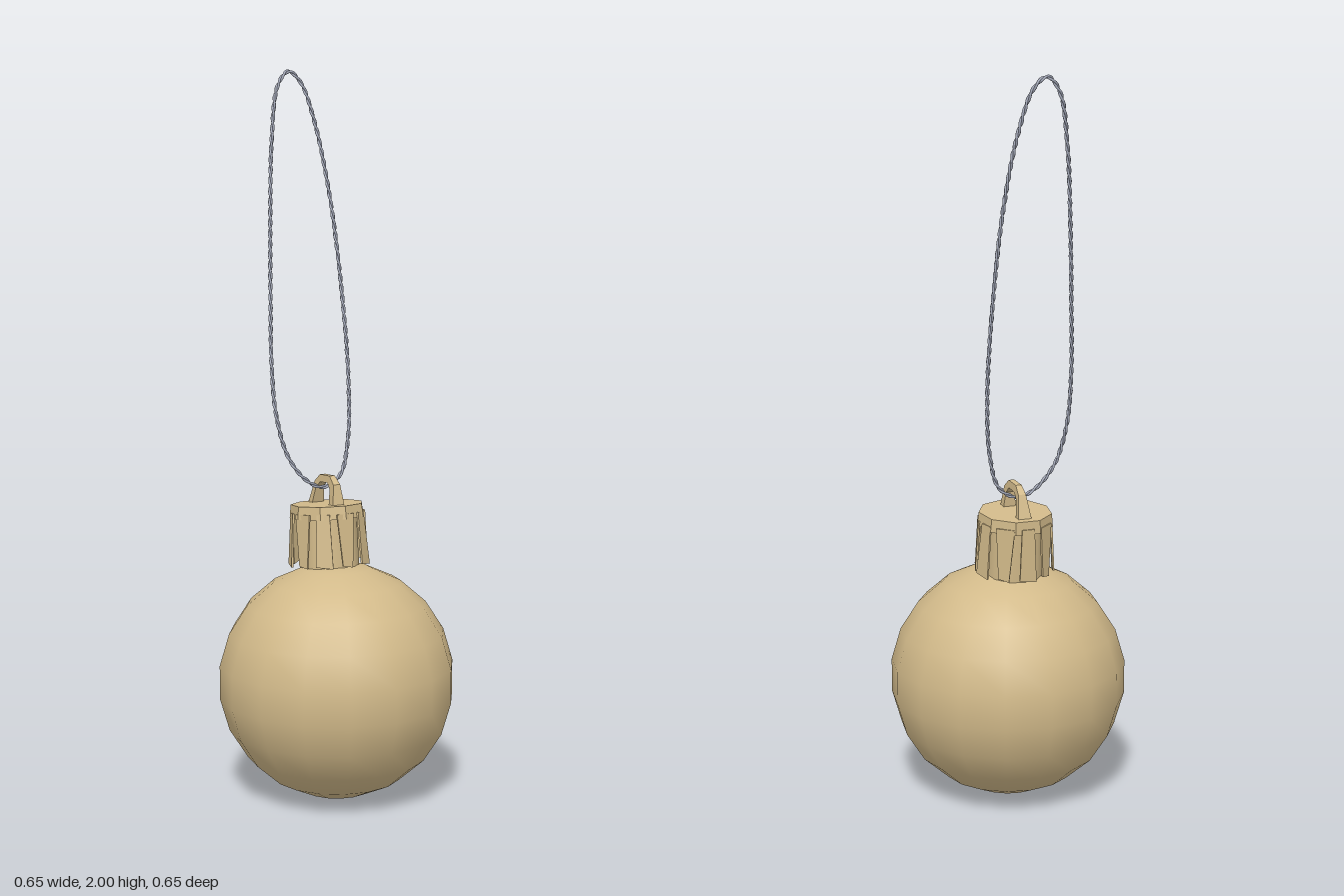
import * as THREE from 'three';

const gold = new THREE.MeshStandardMaterial({ color: 0xd2ba8a });
gold.name = 'matte gold';
const grey = new THREE.MeshStandardMaterial({ color: 0xa3a8b8 });
grey.name = 'grey cord';

function add(parent, name, geometry, material) {
  const mesh = new THREE.Mesh(geometry, material);
  mesh.name = name;
  parent.add(mesh);
  return mesh;
}

// Faceted normals for the crimped metal cap
function flat(geometry) {
  const g = geometry.toNonIndexed();
  g.computeVertexNormals();
  return g;
}

// Strand wound around a closed centre line lying in a leaning plane
class Strand extends THREE.Curve {
  constructor(path, planeNormal, turns, phase, offset) {
    super();
    Object.assign(this, { path, planeNormal, turns, phase, offset });
    this.arcLengthDivisions = 2000;
  }
  getPoint(t, target = new THREE.Vector3()) {
    const u = t % 1;
    const side = this.path.getTangentAt(u).cross(this.planeNormal).normalize();
    const a = t * this.turns * Math.PI * 2 + this.phase;
    return target.copy(this.path.getPointAt(u))
      .addScaledVector(side, Math.cos(a) * this.offset)
      .addScaledVector(this.planeNormal, Math.sin(a) * this.offset);
  }
}

function makeCord() {
  const cord = new THREE.Group();
  cord.name = 'hangingCord';
  const outline = [
    [0, 0.858], [0.055, 0.888], [0.088, 0.98], [0.107, 1.15], [0.109, 1.4],
    [0.097, 1.65], [0.07, 1.85], [0.035, 1.965], [0, 1.994], [-0.037, 1.955],
    [-0.07, 1.81], [-0.093, 1.62], [-0.114, 1.4], [-0.13, 1.2], [-0.129, 1.06],
    [-0.102, 0.945], [-0.05, 0.878],
  ];
  const slope = -0.2 / 1.134;
  const path = new THREE.CatmullRomCurve3(
    outline.map(([x, y]) => new THREE.Vector3(x, y, -0.072 + (y - 0.858) * slope)), true);
  path.arcLengthDivisions = 800;
  const normal = new THREE.Vector3(0, -slope, 1).normalize();
  for (let i = 0; i < 2; i++) {
    const strand = new Strand(path, normal, 42, i * Math.PI, 0.0028);
    add(cord, 'cordStrand', new THREE.TubeGeometry(strand, 504, 0.0034, 8, true), grey);
  }
  return cord;
}

function makeCap() {
  const cap = new THREE.Group();
  cap.name = 'cap';
  cap.position.set(0, 0.815, -0.054);
  cap.rotation.x = -0.08;

  // Top plate and inner neck
  const plate = add(cap, 'capTop', flat(new THREE.CylinderGeometry(0.101, 0.105, 0.036, 9)), gold);
  plate.position.y = -0.018;
  const neck = add(cap, 'neck', new THREE.CylinderGeometry(0.08, 0.082, 0.19, 12, 1, true), gold);
  neck.position.y = -0.115;

  // Ring of bent prongs, alternately narrowing and widening downwards
  const count = 10;
  for (let i = 0; i < count; i++) {
    const top = i % 2 ? 0.018 : 0.026;
    const bottom = i % 2 ? 0.024 : 0.015;
    const shape = new THREE.Shape([
      new THREE.Vector2(-top, 0), new THREE.Vector2(-bottom, -0.142),
      new THREE.Vector2(bottom, -0.148), new THREE.Vector2(top, 0),
    ]);
    const prong = add(cap, 'capProng',
      new THREE.ExtrudeGeometry(shape, { depth: 0.005, bevelEnabled: false }), gold);
    const a = (i / count) * Math.PI * 2;
    prong.position.set(Math.sin(a) * 0.096, -0.022, Math.cos(a) * 0.096);
    prong.rotation.order = 'YXZ';
    prong.rotation.set(i % 2 ? -0.07 : -0.03, a, 0);
  }
  return cap;
}

function makeHook() {
  // Arched strap that holds the cord, pinched towards its crown
  const arch = new THREE.Shape([
    [-0.014, 0.805], [0, 0.875], [0.026, 0.896], [0.08, 0.893], [0.105, 0.872], [0.13, 0.8],
    [0.108, 0.8], [0.094, 0.856], [0.074, 0.873], [0.034, 0.876], [0.018, 0.86], [0.012, 0.805],
  ].map(([x, y]) => new THREE.Vector2(x, y)));
  const geometry = new THREE.ExtrudeGeometry(arch, { depth: 0.04, bevelEnabled: false });
  geometry.translate(0, 0, -0.02).rotateY(Math.PI / 2);
  const p = geometry.attributes.position;
  for (let i = 0; i < p.count; i++) {
    p.setX(i, p.getX(i) * THREE.MathUtils.mapLinear(p.getY(i), 0.8, 0.896, 1, 0.4));
  }
  geometry.computeVertexNormals();
  return geometry;
}

export function createModel() {
  const model = new THREE.Group();
  model.name = 'bauble';

  // Smooth, coarse ball
  const ball = add(model, 'ball', new THREE.SphereGeometry(0.328, 16, 11), gold);
  ball.position.y = 0.328;

  model.add(makeCap());
  add(model, 'hook', makeHook(), gold);
  model.add(makeCord());
  return model;
}
